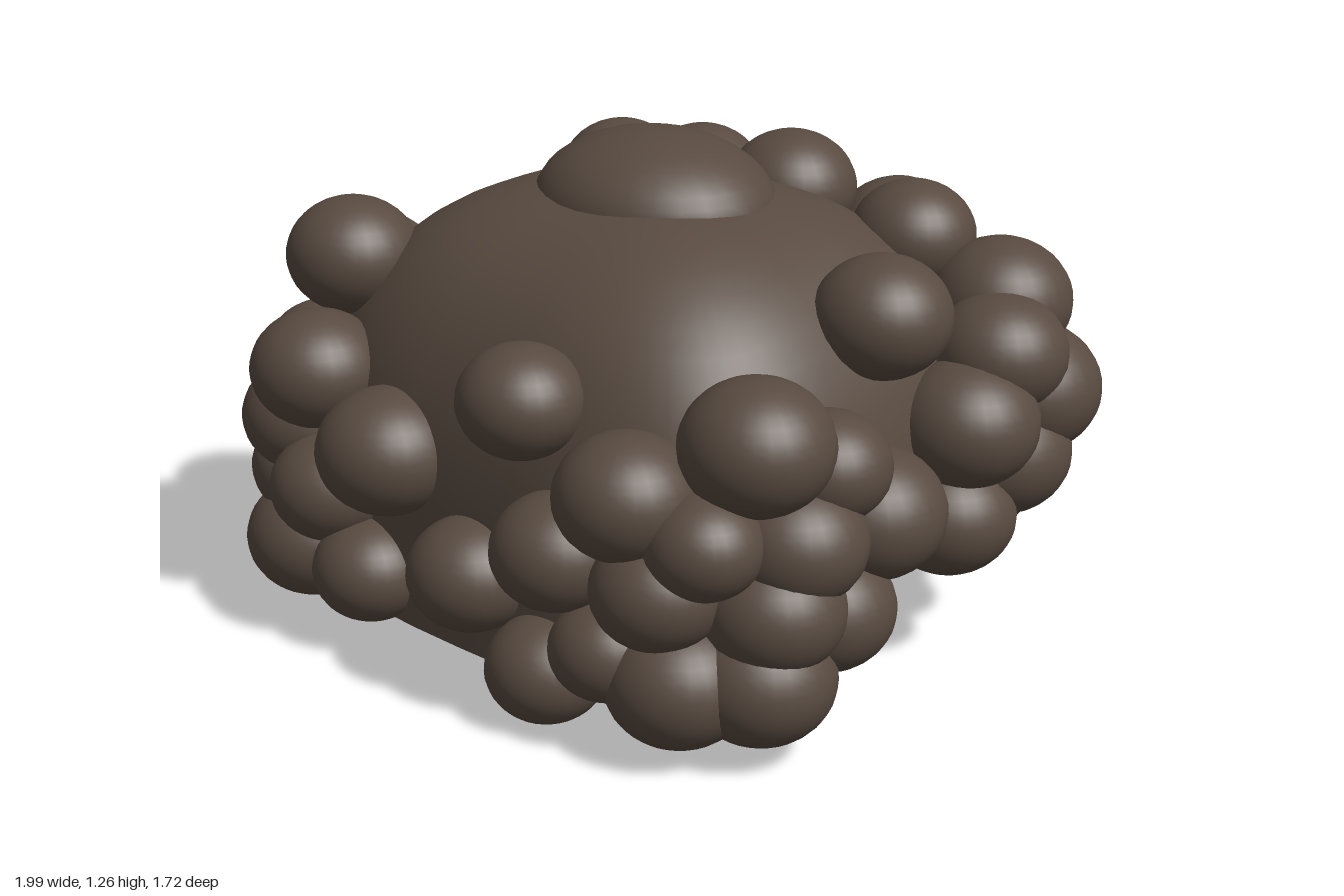
import * as THREE from 'three';

const brown = new THREE.MeshStandardMaterial({ color: 0x584a40 });
brown.name = 'dark brown';

// Rounded-box plan, domed top, rim stepping up towards the back, fan underside
function capGeometry() {
  const N = 64, M = 18, TOP = 1.15, BASE = 0.4, EXP = 2.45, pos = [], idx = [];
  const pw = (v, e) => Math.sign(v) * Math.abs(v) ** e;
  for (let j = 0; j <= M; j++) {
    const s = Math.sin((j / M) * Math.PI / 2);
    for (let i = 0; i < N; i++) {
      const a = (i / N) * Math.PI * 2;
      const x = 0.8 * pw(Math.cos(a), 0.65), z = 0.69 * pw(Math.sin(a), 0.65);
      const rim = 0.36 - 0.285 * Math.tanh(z / 0.45);
      const y = rim + (TOP - rim) * s;
      const h = Math.min(1, Math.max(0, (y - BASE) / (TOP - BASE)));
      const r = Math.max(0, 1 - h ** EXP) ** (1 / EXP);
      pos.push(x * r, y, z * r);
    }
  }
  for (let j = 0; j < M; j++) for (let i = 0; i < N; i++) {
    const a = j * N + i, b = j * N + (i + 1) % N, c = a + N, d = b + N;
    idx.push(a, c, b);
    if (j < M - 1) idx.push(b, c, d);
  }
  // underside fan with its own rim for a sharp edge
  const first = pos.length / 3;
  pos.push(...pos.slice(0, N * 3), 0, 0.4, 0);
  for (let i = 0; i < N; i++) idx.push(first + i, first + (i + 1) % N, first + N);
  const g = new THREE.BufferGeometry();
  g.setAttribute('position', new THREE.Float32BufferAttribute(pos, 3));
  g.setIndex(idx);
  g.computeVertexNormals();
  return g;
}

// Curl clusters: x, y, z, radius
const frontCurls = [
  [-0.6, 0.93, 0.47, 0.17], [-0.53, 0.69, 0.66, 0.17], [-0.25, 0.55, 0.68, 0.18],
  [-0.65, 0.52, 0.6, 0.17], [-0.33, 0.21, 0.68, 0.15], [-0.67, 0.17, 0.58, 0.18],
  [-0.48, 0.39, 0.67, 0.16], [-0.7, 0.35, 0.54, 0.17], [0.2, 0.79, 0.66, 0.155],
  [0.05, 0.32, 0.69, 0.16], [0.33, 0.46, 0.68, 0.16], [0.52, 0.64, 0.65, 0.17],
  [0.28, 0.14, 0.67, 0.15], [0.47, 0.25, 0.66, 0.14], [0.63, 0.2, 0.59, 0.18],
  [0.6, 0.43, 0.63, 0.16], [0.71, 0.56, 0.6, 0.14], [0.77, 0.21, 0.47, 0.18],
];
const leftCurls = [
  [0.75, 0.77, 0.47, 0.18], [0.69, 0.93, -0.05, 0.17], [0.82, 0.53, 0.14, 0.18],
  [0.8, 0.68, 0.28, 0.15], [0.8, 0.53, 0.39, 0.17], [0.8, 0.33, 0.28, 0.17],
  [0.79, 0.38, 0.45, 0.17], [0.81, 0.64, -0.24, 0.18], [0.8, 0.66, -0.5, 0.19],
  [0.8, 0.52, -0.4, 0.18], [0.78, 0.4, -0.22, 0.17], [0.73, 0.44, -0.39, 0.16],
  [0.8, 0.78, -0.38, 0.17],
];
const rightCurls = [
  [-0.78, 0.8, 0.24, 0.17], [-0.82, 0.66, -0.12, 0.17], [-0.78, 0.6, 0.42, 0.17],
  [-0.81, 0.34, 0.28, 0.17], [-0.83, 0.5, 0.14, 0.15], [-0.8, 0.42, 0.44, 0.15],
  [-0.8, 0.62, -0.34, 0.17], [-0.82, 0.43, -0.17, 0.17],
];
const backCurls = [
  [0.7, 0.86, -0.52, 0.18], [0.46, 0.99, -0.47, 0.16], [0.11, 1.06, -0.41, 0.17],
  [0.31, 0.93, -0.61, 0.17], [0.45, 0.77, -0.67, 0.17], [0.12, 0.75, -0.7, 0.14],
  [0.63, 0.7, -0.61, 0.18], [0.55, 0.62, -0.58, 0.16], [0.26, 0.66, -0.66, 0.13],
  [-0.14, 0.86, -0.65, 0.17], [-0.33, 0.97, -0.56, 0.17], [-0.53, 0.97, -0.45, 0.17],
  [-0.42, 0.74, -0.69, 0.17], [-0.64, 0.8, -0.58, 0.18], [-0.74, 0.66, -0.54, 0.18],
  [-0.55, 0.63, -0.6, 0.16], [-0.3, 0.67, -0.65, 0.14], [-0.8, 0.76, -0.42, 0.16],
];

export function createModel() {
  const model = new THREE.Group();
  model.name = 'curlyHair';

  const cap = new THREE.Mesh(capGeometry(), brown);
  cap.name = 'hairCap';
  model.add(cap);

  const ball = new THREE.SphereGeometry(1, 28, 20);
  const bun = new THREE.Mesh(ball, brown);
  bun.name = 'topBun';
  bun.position.set(0, 1.08, -0.01);
  bun.scale.set(0.325, 0.19, 0.285);
  model.add(bun);

  // slightly flattened curls around the rim
  const clusters = { frontCurls, leftCurls, rightCurls, backCurls };
  for (const [name, list] of Object.entries(clusters)) {
    const group = new THREE.Group();
    group.name = name;
    list.forEach(([x, y, z, r], i) => {
      const curl = new THREE.Mesh(ball, brown);
      curl.name = 'curl' + (i + 1);
      curl.position.set(x, y, z);
      curl.scale.set(r, r * 0.88, r);
      group.add(curl);
    });
    model.add(group);
  }
  return model;
}
